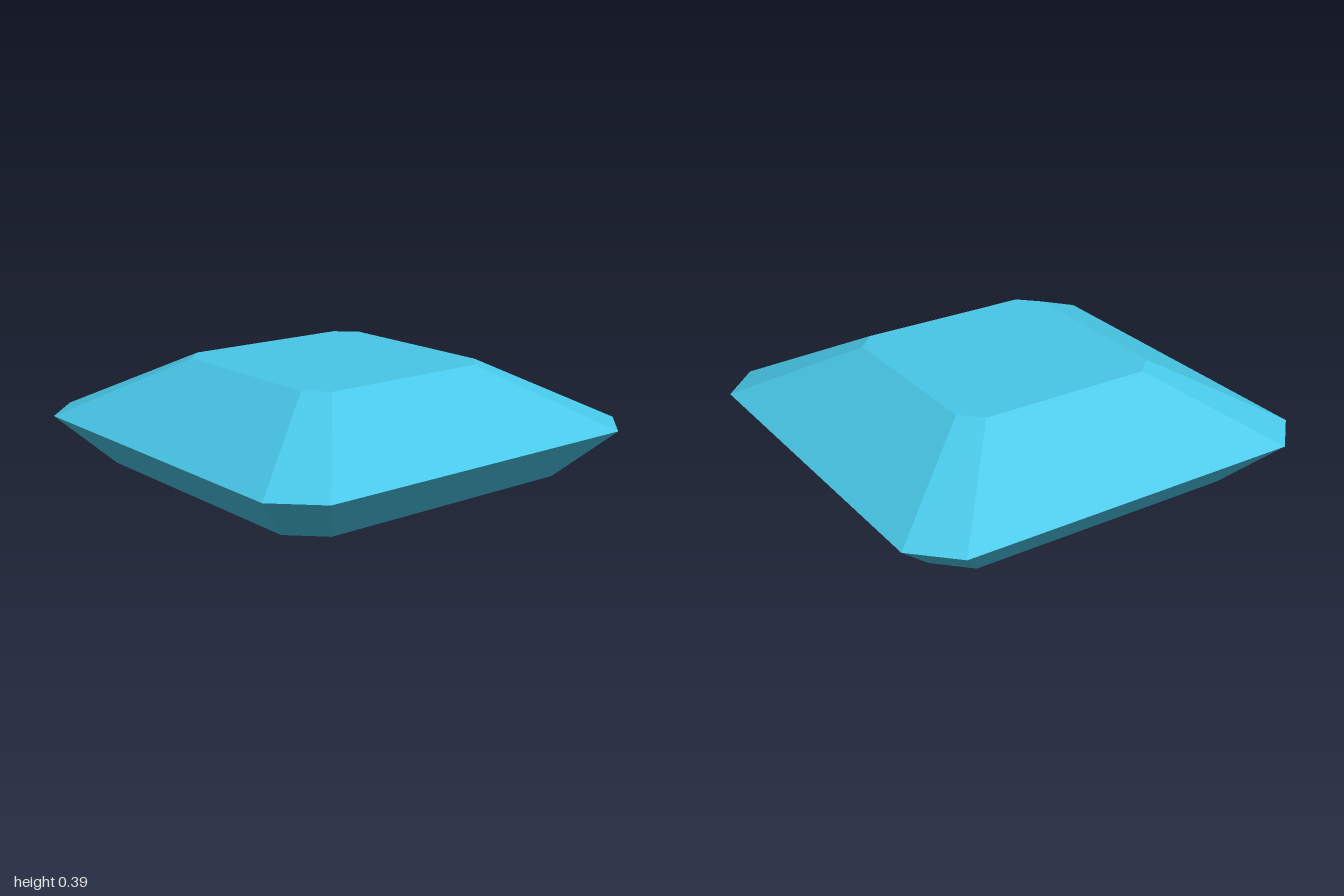
import * as THREE from 'three';

// Square outline standing on its corners, each corner cut off by a short edge
function ring(reach, cut, y) {
  const points = [];
  let corner = [[reach, -cut], [reach, cut]];
  for (let k = 0; k < 4; k++) {
    for (const [x, z] of corner) points.push([x, y, z]);
    corner = corner.map(([x, z]) => [-z, x]);
  }
  return points;
}

// Sloping facets between two rings, closed by a flat cap on one end
function facets(lower, upper, capOnTop) {
  const positions = [];
  const triangle = (a, b, c) => positions.push(...a, ...b, ...c);
  const n = lower.length;
  for (let i = 0; i < n; i++) {
    const j = (i + 1) % n;
    triangle(lower[j], lower[i], upper[i]);
    triangle(lower[j], upper[i], upper[j]);
  }
  for (let i = 1; i < n - 1; i++) {
    if (capOnTop) triangle(upper[0], upper[i + 1], upper[i]);
    else triangle(lower[0], lower[i], lower[i + 1]);
  }
  const geometry = new THREE.BufferGeometry();
  geometry.setAttribute('position', new THREE.Float32BufferAttribute(positions, 3));
  geometry.computeVertexNormals();
  return geometry;
}

export function createModel() {
  const gemBlue = new THREE.MeshStandardMaterial({ color: 0x48c8e8, flatShading: true });
  gemBlue.name = 'gem blue';

  const base = ring(0.78, 0.078, 0);
  const girdle = ring(1, 0.1, 0.175);
  const table = ring(0.5, 0.05, 0.388);

  // Upper half with the flat table, lower half with the flat base
  const crown = new THREE.Mesh(facets(girdle, table, true), gemBlue);
  crown.name = 'crown';
  const pavilion = new THREE.Mesh(facets(base, girdle, false), gemBlue);
  pavilion.name = 'pavilion';

  const gem = new THREE.Group();
  gem.name = 'gem';
  gem.add(crown, pavilion);
  return gem;
}
